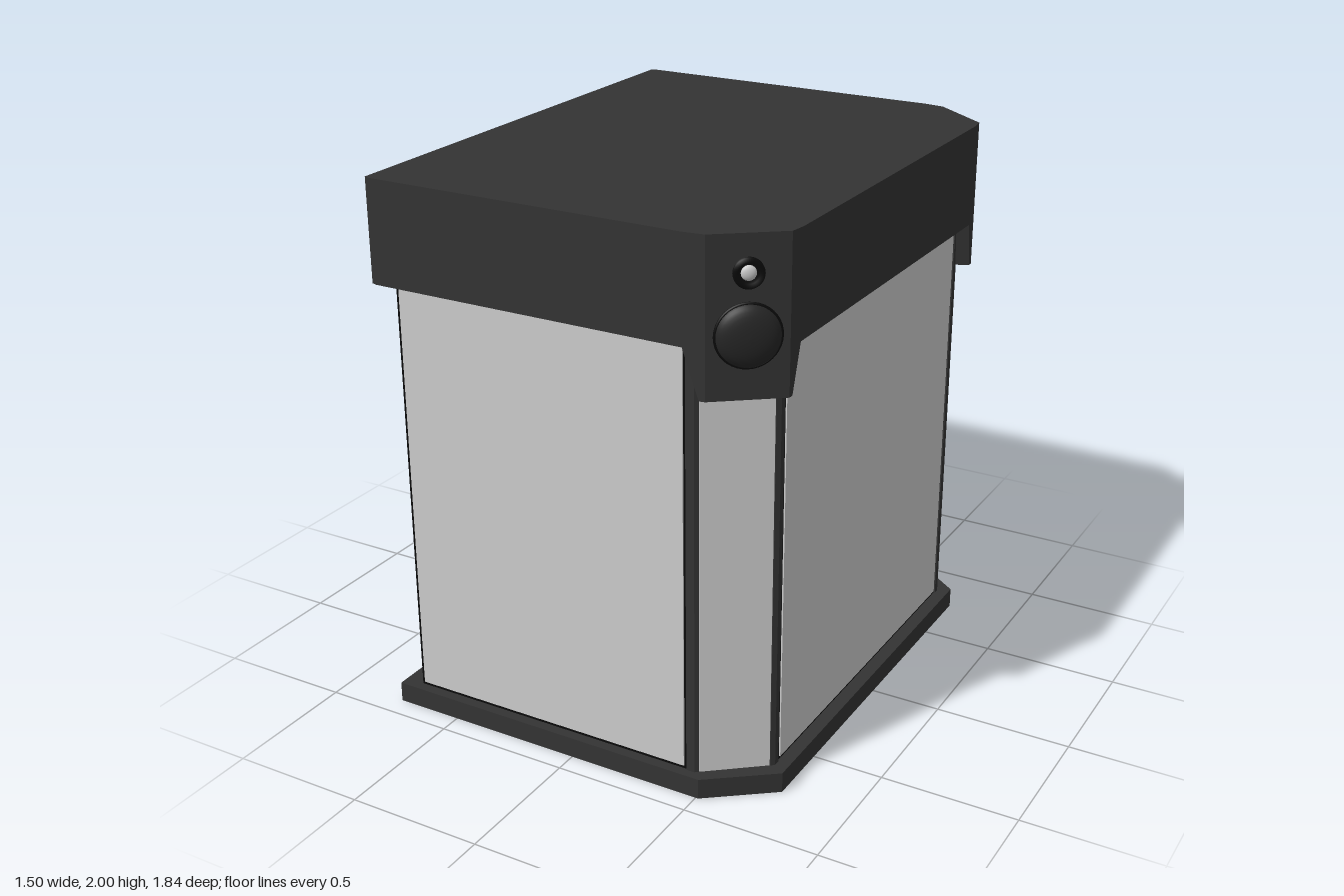
import * as THREE from 'three';

const charcoal = new THREE.MeshStandardMaterial({ color: 0x333333 });
const black = new THREE.MeshStandardMaterial({ color: 0x0a0a0a });
const lensDark = new THREE.MeshStandardMaterial({ color: 0x262626 });
const grey = new THREE.MeshStandardMaterial({ color: 0xcccccc });

function add(parent, name, geometry, material) {
  const mesh = new THREE.Mesh(geometry, material);
  mesh.name = name;
  parent.add(mesh);
  return mesh;
}

// Convex upright solid between a lower and an upper outline of [x, z] points.
function loft(lower, y0, y1, upper = lower) {
  let area = 0;
  lower.forEach(([x, z], i) => {
    const [nx, nz] = lower[(i + 1) % lower.length];
    area += x * nz - nx * z;
  });
  const lo = area < 0 ? [...lower].reverse() : lower;
  const up = area < 0 ? [...upper].reverse() : upper;
  const pos = [];
  const n = lo.length;
  const low = (i) => [lo[i % n][0], y0, lo[i % n][1]];
  const high = (i) => [up[i % n][0], y1, up[i % n][1]];
  for (let i = 0; i < n; i++) {
    pos.push(...low(i), ...high(i), ...high(i + 1));
    pos.push(...low(i), ...high(i + 1), ...low(i + 1));
    if (i > 0 && i < n - 1) {
      pos.push(...high(0), ...high(i + 1), ...high(i));
      pos.push(...low(0), ...low(i), ...low(i + 1));
    }
  }
  const geometry = new THREE.BufferGeometry();
  geometry.setAttribute('position', new THREE.Float32BufferAttribute(pos, 3));
  geometry.computeVertexNormals();
  return geometry;
}

// Full outline from its front half, mirrored in z.
const mirrored = (half) => [...half, ...half.map(([x, z]) => [x, -z]).reverse()];
const flip = (points, s) => points.map(([x, z]) => [x, z * s]);

// Round part turned about the local z axis; profile is [radius, height].
function turned(profile) {
  return new THREE.LatheGeometry(profile.map(([r, h]) => new THREE.Vector2(r, h)), 40).rotateX(Math.PI / 2);
}

// Sensor head: round dome below, small bright lens above.
function sensors(side) {
  const group = new THREE.Group();
  group.name = side > 0 ? 'frontSensors' : 'backSensors';
  const dome = [[0.107, -0.02], [0.107, 0.01]];
  for (let i = 1; i <= 8; i++) {
    const a = (i / 8) * Math.PI / 2;
    dome.push([0.1 * Math.cos(a), 0.01 + 0.035 * Math.sin(a)]);
  }
  add(group, 'dome', turned(dome), lensDark).position.y = 1.675;
  add(group, 'domeRing', new THREE.TorusGeometry(0.104, 0.006, 8, 40), black).position.set(0, 1.675, 0.008);
  add(group, 'lensRing', turned([[0.05, -0.01], [0.05, 0.012], [0.034, 0.012], [0.03, 0.003], [0, 0.003]]), black)
    .position.y = 1.875;
  const lens = add(group, 'lens', new THREE.SphereGeometry(0.025, 24, 16), grey);
  lens.scale.z = 0.5;
  lens.position.set(0, 1.875, 0.004);
  group.position.set(0.635, 0, 0.831 * side);
  group.rotation.y = Math.atan2(0.61, 0.79 * side);
  return group;
}

export function createModel() {
  const model = new THREE.Group();

  // Base, dark core and hood share a plan with two cut corners
  add(model, 'base', loft(mirrored([[-0.75, 0.92], [0.51, 0.92], [0.74, 0.745]]), 0, 0.075), charcoal);
  add(model, 'core', loft(mirrored([[-0.677, 0.882], [0.475, 0.882], [0.69, 0.71]]), 0.075, 1.64), black);
  add(model, 'hood', loft(mirrored([[-0.75, 0.915], [-0.73, 0.922], [0.45, 0.922], [0.53, 0.912],
    [0.74, 0.75], [0.748, 0.69]]), 1.63, 2), charcoal);

  // Large panels on the four walls
  const h = 1.535, mid = 0.855;
  add(model, 'rightSidePanel', new THREE.BoxGeometry(0.02, h, 1.35), grey).position.set(0.685, mid, 0);
  add(model, 'leftSidePanel', new THREE.BoxGeometry(0.02, h, 1.71), grey).position.set(-0.672, mid, 0);

  for (const s of [1, -1]) {
    const end = s > 0 ? 'front' : 'back';
    add(model, end + 'Panel', new THREE.BoxGeometry(1.1, h, 0.02), grey).position.set(-0.115, mid, 0.877 * s);

    // Narrow panel on the cut corner, with a post on either side
    add(model, end + 'CornerPanel', loft(flip([[0.49, 0.876], [0.68, 0.724], [0.66, 0.70], [0.47, 0.85]], s),
      0.075, 1.48), grey);
    add(model, end + 'OuterPost', loft(flip([[0.445, 0.86], [0.445, 0.887], [0.477, 0.887], [0.489, 0.877],
      [0.475, 0.86]], s), 0.075, 1.63), charcoal);
    add(model, end + 'SidePost', loft(flip([[0.67, 0.688], [0.695, 0.688], [0.695, 0.712], [0.683, 0.725],
      [0.67, 0.715]], s), 0.075, 1.63), charcoal);

    // Tapered housing hanging from the hood at the corner
    add(model, end + 'SensorHousing', loft(
      flip([[0.51, 0.915], [0.53, 0.912], [0.74, 0.75], [0.74, 0.73], [0.67, 0.70], [0.49, 0.85]], s), 1.46, 1.64,
      flip([[0.45, 0.921], [0.53, 0.912], [0.74, 0.75], [0.747, 0.69], [0.67, 0.68], [0.45, 0.85]], s)), charcoal);
    model.add(sensors(s));
  }
  return model;
}
